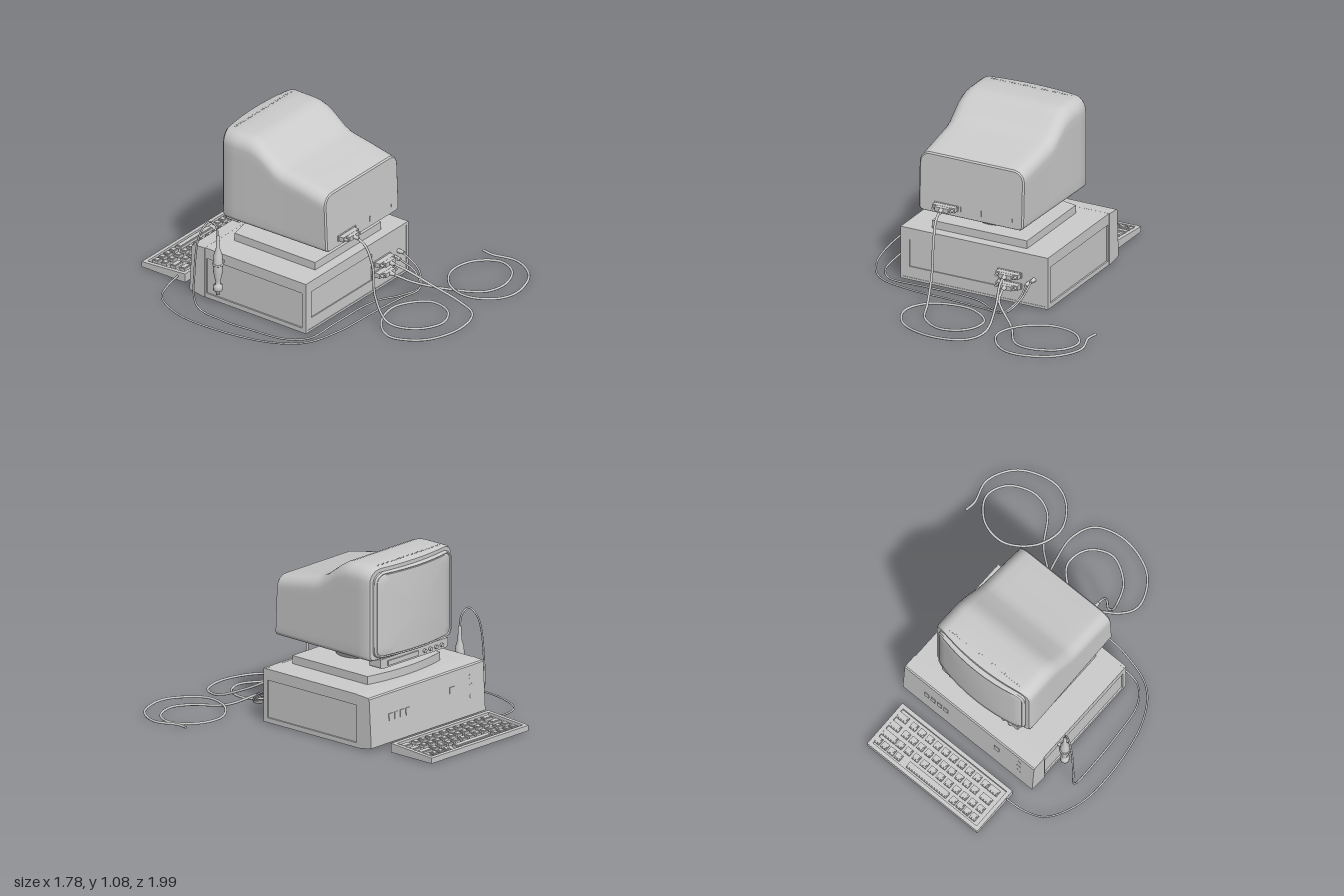
import * as THREE from 'three';
import { toCreasedNormals } from 'three/addons/utils/BufferGeometryUtils.js';

const grey = new THREE.MeshStandardMaterial({ color: 0xcccccc, side: THREE.DoubleSide });

function add(parent, name, geo, x = 0, y = 0, z = 0) {
  const m = new THREE.Mesh(geo, grey);
  m.name = name;
  m.position.set(x, y, z);
  parent.add(m);
  return m;
}
const box = (p, name, w, h, d, x, y, z) => add(p, name, new THREE.BoxGeometry(w, h, d), x, y, z);

function group(parent, name, x = 0, y = 0, z = 0) {
  const g = new THREE.Group();
  g.name = name;
  g.position.set(x, y, z);
  parent.add(g);
  return g;
}

function rectPath(Type, x0, y0, x1, y1) {
  const p = new Type();
  p.moveTo(x0, y0).lineTo(x1, y0).lineTo(x1, y1).lineTo(x0, y1).closePath();
  return p;
}

// Rounded-rectangle ring, counter-clockwise, with subdivided straight edges
function ring({ z, w, y0, y1, rt, rb, s = 1, bulge = 0, tilt = 0 }) {
  const pts = [], out = [], my = (y0 + y1) / 2;
  [[1, 1, rt], [-1, 1, rt], [-1, -1, rb], [1, -1, rb]].forEach(([sx, sy, r], c) => {
    const cx = sx * (w - r), cy = (sy > 0 ? y1 : y0) - sy * r;
    for (let i = 0; i <= 6; i++) {
      const a = (c + i / 6) * Math.PI / 2;
      pts.push([cx + r * Math.cos(a), cy + r * Math.sin(a)]);
    }
  });
  pts.forEach((p, i) => {
    const q = pts[(i + 1) % pts.length], n = i % 7 === 6 ? 8 : 1;
    for (let k = 0; k < n; k++) {
      const x = (p[0] + (q[0] - p[0]) * k / n) * s;
      const y = my + (p[1] + (q[1] - p[1]) * k / n - my) * s;
      out.push([x, y, z - bulge * (1 - (x / w) ** 2) - tilt * (y - y0)]);
    }
  });
  return out;
}

// Skin over rings ordered from +z to -z
function loft(sections) {
  const rings = sections.map(ring), n = rings[0].length, idx = [];
  for (let i = 0; i < rings.length - 1; i++)
    for (let j = 0; j < n; j++) {
      const a = i * n + j, b = i * n + (j + 1) % n;
      idx.push(a, a + n, b, b, a + n, b + n);
    }
  const g = new THREE.BufferGeometry();
  g.setAttribute('position', new THREE.Float32BufferAttribute(rings.flat(2), 3));
  g.setIndex(idx);
  return toCreasedNormals(g, 0.6);
}

// Wall in the xy plane, outside at +z, with sunken rectangles
function wall(parent, name, w, y0, y1, holes) {
  const g = group(parent, name), s = rectPath(THREE.Shape, -w / 2, y0, w / 2, y1);
  holes.forEach(h => s.holes.push(rectPath(THREE.Path, ...h)));
  add(g, 'wallFrame', new THREE.ExtrudeGeometry(s, { depth: 0.01, bevelEnabled: false }), 0, 0, -0.01);
  box(g, 'wallBacking', w, y1 - y0, 0.008, 0, (y0 + y1) / 2, -0.014);
  return g;
}

function cable(parent, name, pts, r = 0.008) {
  const c = new THREE.CatmullRomCurve3(pts.map(p => new THREE.Vector3(...p)));
  add(parent, name, new THREE.TubeGeometry(c, pts.length * 9, r, 8), 0, 0, 0);
}

// Flared connector with two thumb screws, pointing to +z
function plug(parent, name, x, y, z) {
  const g = group(parent, name, x, y, z);
  box(g, 'plugShell', 0.15, 0.03, 0.045, 0, 0, 0.022);
  box(g, 'plugBody', 0.09, 0.028, 0.03, 0, 0, 0.055);
  for (const sx of [-1, 1])
    add(g, 'thumbScrew', new THREE.CylinderGeometry(0.009, 0.009, 0.025, 10).rotateX(Math.PI / 2), sx * 0.06, 0, 0.055);
  add(g, 'strainRelief', new THREE.CylinderGeometry(0.009, 0.015, 0.04, 10).rotateX(Math.PI / 2), 0, 0, 0.085);
}

function buildCase(pc) {
  const g = group(pc, 'caseUnit');
  // Hollow shell, open underneath
  box(g, 'caseTop', 1, 0.015, 0.76, 0, 0.342, -0.093);
  for (const s of [-1, 1]) {
    const w = wall(g, 'caseSide', 0.755, 0.015, 0.348, [[-0.35, 0.045, 0.365, 0.28]]);
    w.rotation.y = s * Math.PI / 2;
    w.position.set(s * 0.5, 0, -0.093);
    if (s < 0) w.children[0].geometry.scale(-1, 1, 1).index;
  }
  const rear = wall(g, 'caseRearRim', 1, 0.015, 0.35, [[-0.483, 0.03, 0.483, 0.333]]);
  rear.position.z = 0.288;
  const panel = wall(g, 'caseRearPanel', 0.966, 0.03, 0.333, [[-0.44, 0.1, 0.15, 0.275]]);
  panel.position.z = 0.285;
  for (const y of [0.2, 0.13]) box(g, 'rearPort', 0.16, 0.034, 0.012, 0.242, y, 0.288);

  // Sloping front bezel
  const s = new THREE.Shape();
  s.moveTo(-0.47, 0.015).lineTo(-0.47, 0.35).lineTo(-0.558, 0.345).lineTo(-0.566, 0.337).lineTo(-0.583, 0.035).lineTo(-0.57, 0.03).closePath();
  add(g, 'frontBezel', new THREE.ExtrudeGeometry(s, { depth: 1.01, bevelEnabled: false }).rotateY(-Math.PI / 2), 0.505);
  const f = group(g, 'frontControls', 0, 0, -0.566);
  f.rotation.x = 0.055;
  const disc = (name, r, d, x, y) => add(f, name, new THREE.CylinderGeometry(r * 0.85, r, d, 16).rotateX(-Math.PI / 2), x, y, -d / 2);
  for (let i = 0; i < 4; i++) {
    box(f, 'buttonSurround', 0.042, 0.075, 0.012, 0.175 + i * 0.05, 0.18, 0);
    box(f, 'pushButton', 0.032, 0.045, 0.03, 0.175 + i * 0.05, 0.19, -0.008);
  }
  box(f, 'frontSlot', 0.2, 0.008, 0.012, 0.25, 0.265, 0);
  disc('slotCatch', 0.014, 0.01, 0.25, 0.265);
  for (const y of [0.3, 0.23, 0.16]) disc('indicatorLamp', 0.009, 0.012, -0.12, y);
  box(f, 'drivePanel', 0.31, 0.245, 0.012, -0.31, 0.2, 0);
  box(f, 'driveSlot', 0.018, 0.18, 0.02, -0.22, 0.22, -0.002);
  box(f, 'driveLever', 0.04, 0.05, 0.032, -0.22, 0.22, -0.006);
  for (const y of [0.27, 0.21, 0.15]) disc('driveKnob', 0.02, 0.02, -0.39, y);
}

function buildMonitor(pc) {
  const g = group(pc, 'monitor');
  // Housing: rear face, low tail, ramp, tall front
  const rearS = { z: 0.332, w: 0.345, y0: 0.515, y1: 0.878, rt: 0.06, rb: 0.025, tilt: 0.04 };
  const hull = [[0.325, 0.355, 0.888], [0.15, 0.358, 0.92], [0.02, 0.36, 0.943], [-0.02, 0.361, 0.953], [-0.06, 0.362, 0.972],
    [-0.16, 0.364, 1.047], [-0.2, 0.365, 1.073], [-0.24, 0.366, 1.087], [-0.28, 0.367, 1.09], [-0.35, 0.368, 1.09], [-0.425, 0.368, 1.09]]
    .map(([z, w, y1], i, a) => ({ z, w, y1, y0: 0.51, rt: i < 6 ? 0.075 : 0.085, rb: 0.03, tilt: i ? 0 : 0.04, bulge: i === a.length - 1 ? 0.04 : 0 }));
  const face = { z: -0.44, w: 0.36, y0: 0.517, y1: 1.083, rt: 0.08, rb: 0.03, bulge: 0.04 };
  add(g, 'monitorHousing', loft([{ ...rearS, s: 0.001 }, rearS, ...hull, face, { ...face, s: 0.001 }]));
  // Bulging screen
  const scr = { z: -0.43, w: 0.335, y0: 0.525, y1: 1.06, rt: 0.06, rb: 0.045, bulge: 0.045 };
  add(g, 'screen', loft([scr, { ...scr, z: -0.455 }, { ...scr, z: -0.465, s: 0.975 }, { ...scr, z: -0.459, s: 0.955 },
    ...[0.94, 0.8, 0.6, 0.4, 0.2, 0.001].map(s => ({ ...scr, z: -0.462 - 0.006 * (1 - s * s), s }))]));
  for (let i = 0; i < 28; i++)
    box(g, 'topVent', 0.008, 0.003, 0.012, -0.27 + i * 0.02, 1.09, -0.42);
  for (const [x, h] of [[-0.07, 0.03], [0.07, 0.035], [0.28, 0.02]])
    box(g, 'rearSlot', 0.005, h, 0.006, x, 0.565, 0.331);
  box(g, 'videoPort', 0.16, 0.034, 0.012, -0.165, 0.565, 0.332);

  // Control bar under the screen
  const s = new THREE.Shape();
  s.moveTo(-0.298, 0.515).lineTo(-0.298, 0.47).quadraticCurveTo(-0.295, 0.455, -0.27, 0.455)
    .lineTo(0.27, 0.455).quadraticCurveTo(0.295, 0.455, 0.298, 0.47).lineTo(0.298, 0.515).closePath();
  add(g, 'controlBar', new THREE.ExtrudeGeometry(s, { depth: 0.09, bevelEnabled: false }), 0, 0, -0.468);
  box(g, 'controlFlap', 0.27, 0.03, 0.012, 0.1, 0.482, -0.47);
  for (let i = 0; i < 4; i++)
    add(g, 'controlKnob', new THREE.CylinderGeometry(0.012, 0.012, 0.02, 12).rotateX(Math.PI / 2), -0.09 - i * 0.05, 0.482, -0.472);

  // Swivel foot and bowed base plate
  add(g, 'swivelFoot', new THREE.LatheGeometry([[0, 0.39], [0.13, 0.39], [0.14, 0.41], [0.18, 0.475], [0.2, 0.515], [0, 0.515]]
    .map(p => new THREE.Vector2(...p)), 40), 0, 0, -0.02);
  const b = new THREE.Shape();
  b.moveTo(-0.322, -0.22).lineTo(0.322, -0.22).lineTo(0.322, 0.385).quadraticCurveTo(0, 0.465, -0.322, 0.385).closePath();
  add(g, 'basePlate', new THREE.ExtrudeGeometry(b, { depth: 0.055, bevelEnabled: false, curveSegments: 16 }).rotateX(-Math.PI / 2), 0, 0.345, 0);
}

function buildKeyboard(root) {
  const g = group(root, 'keyboard', -0.09, 0.015, -0.8375);
  const top = z => 0.046 + z * 0.07;
  // Rim and tray follow the sloping top, open underneath
  const sloped = (shape, low) => {
    const geo = new THREE.ExtrudeGeometry(shape, { depth: 1, bevelEnabled: false }).rotateX(-Math.PI / 2);
    const p = geo.attributes.position;
    for (let i = 0; i < p.count; i++) {
      const t = top(p.getZ(i));
      p.setY(i, p.getY(i) > 0.5 ? t - low : low ? t - low - 0.006 : 0);
    }
    geo.computeVertexNormals();
    return geo;
  };
  const rim = rectPath(THREE.Shape, -0.43, -0.1625, 0.43, 0.1625);
  rim.holes.push(rectPath(THREE.Path, -0.405, -0.138, 0.405, 0.138));
  add(g, 'keyboardRim', sloped(rim, 0));
  add(g, 'keyboardTray', sloped(rectPath(THREE.Shape, -0.41, -0.143, 0.41, 0.143), 0.018));
  // Rows: z, then runs of [start x, key count, pitch, key width]
  const rows = [
    [-0.103, [[-0.375, 4, 0.053, 0.042], [-0.15, 1, 0, 0.31], [0.213, 4, 0.053, 0.042]]],
    [-0.04, [[-0.375, 11, 0.0625, 0.044], [0.305, 1, 0, 0.105]]],
    [0.028, [[-0.375, 1, 0, 0.075], [-0.27, 10, 0.0595, 0.044], [0.335, 1, 0, 0.075]]],
    [0.097, [[-0.375, 1, 0, 0.07], [-0.297, 10, 0.062, 0.044], [0.335, 1, 0, 0.075]]],
  ];
  for (const [z, runs] of rows)
    for (const [x0, n, pitch, w] of runs)
      for (let i = 0; i < n; i++) {
        const key = box(g, 'key', w, 0.016, 0.042, x0 + i * pitch + w / 2, top(z) - 0.011, z);
        key.rotation.x = -0.07;
        box(key, 'keyCap', w - 0.012, 0.006, 0.03, 0, 0.01, 0);
      }
}

function buildPen(root) {
  // Hand-held wand hanging on a side hook
  const g = group(root, 'wand', -0.64, 0, -0.335);
  const prof = [[0, 0.1], [0.012, 0.1], [0.014, 0.125], [0.028, 0.13], [0.028, 0.163], [0.014, 0.166], [0.016, 0.19],
    [0.028, 0.25], [0.03, 0.3], [0.026, 0.37], [0.013, 0.41], [0.01, 0.495], [0, 0.495]];
  add(g, 'wandBody', new THREE.LatheGeometry(prof.map(p => new THREE.Vector2(...p)), 20));
  add(g, 'wandHook', new THREE.TorusGeometry(0.03, 0.006, 8, 20).rotateX(Math.PI / 2), 0, 0.305, 0);
  box(g, 'hookArm', 0.035, 0.016, 0.02, 0.04, 0.305, 0);
}

export function createModel() {
  const root = new THREE.Group();
  root.name = 'desktopComputer';
  const pc = group(root, 'computer', -0.09);
  buildCase(pc);
  buildMonitor(pc);
  buildKeyboard(root);
  buildPen(root);

  plug(root, 'videoPlug', -0.255, 0.565, 0.325);
  plug(root, 'upperRearPlug', 0.152, 0.2, 0.285);
  plug(root, 'lowerRearPlug', 0.152, 0.13, 0.285);
  for (const [x, y] of [[0.315, 0.19], [0.28, 0.16]])
    add(root, 'roundPlug', new THREE.CylinderGeometry(0.011, 0.014, 0.05, 12).rotateX(Math.PI / 2), x, y, 0.305);

  cable(root, 'videoCable', [[-0.255, 0.565, 0.41], [-0.25, 0.53, 0.47], [-0.24, 0.4, 0.52], [-0.24, 0.2, 0.54], [-0.225, 0.05, 0.62],
    [-0.16, 0.025, 0.77], [0, 0.025, 0.86], [0.14, 0.025, 0.79], [0.17, 0.025, 0.64], [0, 0.025, 0.51], [-0.235, 0.035, 0.58],
    [-0.325, 0.025, 0.71], [-0.235, 0.025, 0.9], [0, 0.025, 0.985], [0.2, 0.025, 0.93], [0.26, 0.035, 0.79], [0.22, 0.11, 0.59],
    [0.17, 0.18, 0.45], [0.152, 0.2, 0.38]]);
  cable(root, 'powerCable', [[0.152, 0.13, 0.38], [0.19, 0.1, 0.49], [0.35, 0.03, 0.635], [0.48, 0.02, 0.82], [0.61, 0.025, 0.86],
    [0.77, 0.025, 0.79], [0.82, 0.025, 0.66], [0.72, 0.025, 0.53], [0.55, 0.025, 0.505], [0.39, 0.03, 0.62], [0.34, 0.035, 0.79],
    [0.43, 0.03, 0.935], [0.56, 0.03, 0.985], [0.78, 0.03, 0.91], [0.88, 0.03, 0.74], [0.845, 0.035, 0.58], [0.855, 0.035, 0.51]]);
  cable(root, 'wandCable', [[-0.64, 0.49, -0.335], [-0.652, 0.565, -0.34], [-0.69, 0.605, -0.36], [-0.74, 0.54, -0.39], [-0.77, 0.3, -0.41],
    [-0.772, 0.06, -0.39], [-0.765, 0.02, -0.2], [-0.755, 0.02, 0], [-0.72, 0.02, 0.24], [-0.63, 0.02, 0.34], [-0.4, 0.025, 0.355],
    [-0.13, 0.025, 0.36], [0, 0.025, 0.385], [0.12, 0.025, 0.45], [0.25, 0.05, 0.505], [0.31, 0.12, 0.44], [0.315, 0.19, 0.32]], 0.006);
  cable(root, 'keyboardCable', [[-0.5, 0.045, -0.73], [-0.64, 0.03, -0.715], [-0.765, 0.025, -0.66], [-0.86, 0.02, -0.48],
    [-0.885, 0.02, -0.25], [-0.82, 0.02, 0.16], [-0.69, 0.02, 0.355], [-0.45, 0.025, 0.435], [-0.18, 0.025, 0.45], [0.08, 0.025, 0.47],
    [0.23, 0.05, 0.515], [0.29, 0.11, 0.43], [0.28, 0.16, 0.32]], 0.006);
  return root;
}
